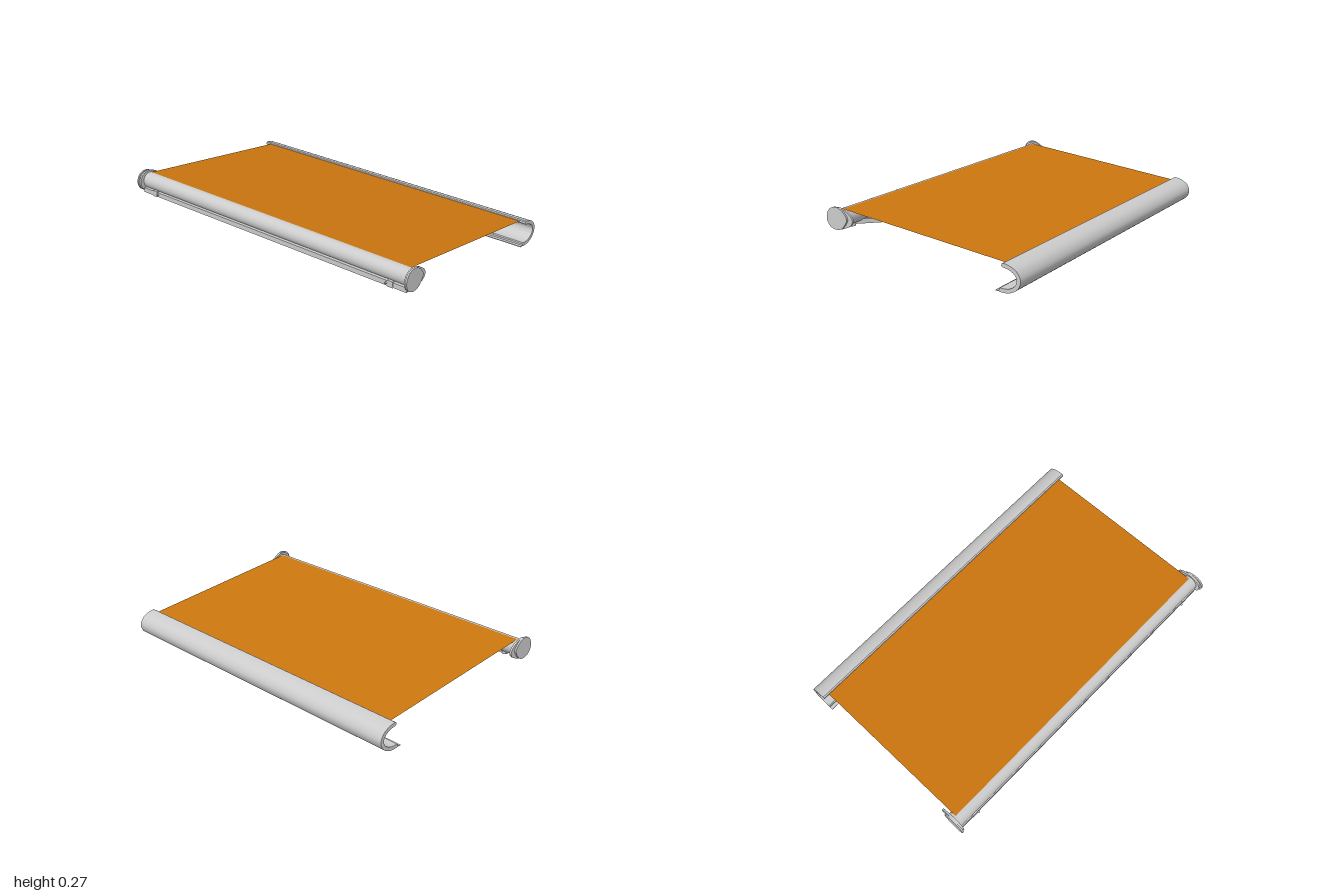
import * as THREE from 'three';

const metal = new THREE.MeshStandardMaterial({ color: 0xcccccc });
metal.name = 'lightGreyMetal';
const fabricMat = new THREE.MeshStandardMaterial({ color: 0xcc760f, side: THREE.DoubleSide });
fabricMat.name = 'orangeFabric';

const v = (x, y, z) => new THREE.Vector3(x, y, z);

function add(parent, name, geometry, pos = [0, 0, 0], material = metal) {
  const mesh = new THREE.Mesh(geometry, material);
  mesh.name = name;
  mesh.position.set(...pos);
  parent.add(mesh);
  return mesh;
}

const box = (w, h, d) => new THREE.BoxGeometry(w, h, d);
const extrude = (shape, depth, curveSegments = 8) =>
  new THREE.ExtrudeGeometry(shape, { depth, bevelEnabled: false, curveSegments }).translate(0, 0, -depth / 2);

// closed smooth outline from a few points
function outline(points) {
  const curve = new THREE.CatmullRomCurve3(points.map(([x, y]) => v(x, y, 0)), true);
  return new THREE.Shape(curve.getPoints(48).slice(0, -1).map(p => new THREE.Vector2(p.x, p.y)));
}

// box beam running from a to b
function beam(parent, name, a, b, w, h) {
  const mesh = add(parent, name, box(w, h, a.distanceTo(b)), a.clone().add(b).multiplyScalar(0.5).toArray());
  mesh.lookAt(b);
  return mesh;
}

export function createModel() {
  const model = new THREE.Group();
  model.name = 'retractableAwning';

  // fabric sheet, sloping from the roller down to the front bar
  const from = v(-0.53, 0.254, 0), to = v(0.5, 0.143, 0);
  const sheet = new THREE.PlaneGeometry(from.distanceTo(to), 1.925).rotateX(-Math.PI / 2);
  const fabric = add(model, 'fabric', sheet, from.clone().add(to).multiplyScalar(0.5).toArray(), fabricMat);
  fabric.rotation.z = Math.atan2(to.y - from.y, to.x - from.x);

  // roller tube and the square mounting rail below it
  const tube = new THREE.CylinderGeometry(0.048, 0.048, 1.95, 32).rotateX(Math.PI / 2);
  add(model, 'rollerTube', tube, [-0.536, 0.205, 0]);
  add(model, 'mountingRail', box(0.03, 0.028, 1.95), [-0.57, 0.154, 0]);

  // curved front bar, open towards the back
  const arc = new THREE.CatmullRomCurve3([
    [0.5, 0.142], [0.54, 0.134], [0.58, 0.112], [0.598, 0.076],
    [0.585, 0.04], [0.55, 0.017], [0.515, 0.011], [0.485, 0.013],
  ].map(([x, y]) => v(x, y, 0)));
  const outer = [], inner = [], steps = 40;
  for (let i = 0; i <= steps; i++) {
    const p = arc.getPoint(i / steps), t = arc.getTangent(i / steps);
    // rounded ends: the wall narrows close to both tips
    const half = 0.0105 * (i === 0 || i === steps ? 0.5 : 1);
    outer.push(new THREE.Vector2(p.x - t.y * half, p.y + t.x * half));
    inner.unshift(new THREE.Vector2(p.x + t.y * half, p.y - t.x * half));
  }
  // share normals along the curved walls, keep the flat ends sharp
  const bar = extrude(new THREE.Shape([...outer, ...inner]), 2);
  smoothWalls(bar);
  add(model, 'frontBar', bar);
  add(model, 'frontBarLip', box(0.03, 0.004, 2), [0.48, 0.006, 0]);

  // end cap outlines
  const cover = outline([[-0.615, 0.205], [-0.598, 0.25], [-0.56, 0.268], [-0.515, 0.258],
    [-0.476, 0.212], [-0.485, 0.185], [-0.52, 0.15], [-0.565, 0.146], [-0.6, 0.165]]);
  const flange = outline([[-0.605, 0.205], [-0.59, 0.245], [-0.55, 0.264], [-0.5, 0.255],
    [-0.455, 0.225], [-0.445, 0.2], [-0.458, 0.177], [-0.5, 0.155], [-0.55, 0.145], [-0.595, 0.165]]);

  for (const s of [1, -1]) {
    const side = new THREE.Group();
    side.name = s > 0 ? 'frontEndParts' : 'backEndParts';
    model.add(side);

    // end cap in two layers, with a roller axle
    add(side, 'endCapCover', extrude(cover, 0.01), [0, 0, s * 0.992]);
    add(side, 'endCapFlange', extrude(flange, 0.012), [0, 0, s * 0.981]);

    // folding arm
    const shoulder = v(-0.54, 0.163, s * 0.875);
    const elbow = v(-0.1, 0.128, s * 0.275);
    const wrist = v(0.54, 0.072, s * 0.665);
    beam(side, 'upperArm', shoulder, elbow, 0.022, 0.026);
    beam(side, 'forearm', elbow, wrist, 0.022, 0.026);
    add(side, 'elbowPin', new THREE.CylinderGeometry(0.013, 0.013, 0.03, 16), elbow.toArray());

    // shoulder bracket clamped around the rail
    add(side, 'shoulderBracket', box(0.05, 0.035, 0.035), [-0.562, 0.155, s * 0.875]);
    add(side, 'shoulderPin', new THREE.CylinderGeometry(0.014, 0.014, 0.05, 16), shoulder.toArray());
    add(side, 'clampBolt', new THREE.CylinderGeometry(0.006, 0.006, 0.012, 12).rotateZ(Math.PI / 2),
      [-0.588, 0.155, s * 0.85]);

    // wrist joint fixed to the inside of the front bar
    beam(side, 'wristLink', wrist, v(0.575, 0.072, s * 0.685), 0.012, 0.012);
    add(side, 'wristPin', new THREE.CylinderGeometry(0.006, 0.006, 0.03, 12), [0.56, 0.072, s * 0.677]);
    add(side, 'wristBracket', box(0.022, 0.035, 0.05), [0.58, 0.073, s * 0.685]);
  }
  return model;
}

// average the normals of side faces that meet at a shallow angle
function smoothWalls(geometry) {
  const p = geometry.attributes.position, n = geometry.attributes.normal, groups = new Map();
  const key = i => [p.getX(i), p.getY(i)].map(c => c.toFixed(4)).join();
  const normals = Array.from({ length: n.count }, (_, i) => v(n.getX(i), n.getY(i), n.getZ(i)));
  normals.forEach((m, i) => {
    if (Math.abs(m.z) > 0.5) return;
    if (!groups.has(key(i))) groups.set(key(i), []);
    groups.get(key(i)).push(m);
  });
  normals.forEach((m, i) => {
    if (Math.abs(m.z) > 0.5) return;
    const sum = v(0, 0, 0);
    for (const o of groups.get(key(i))) if (o.dot(m) > 0.85) sum.add(o);
    sum.normalize();
    n.setXYZ(i, sum.x, sum.y, sum.z);
  });
}
